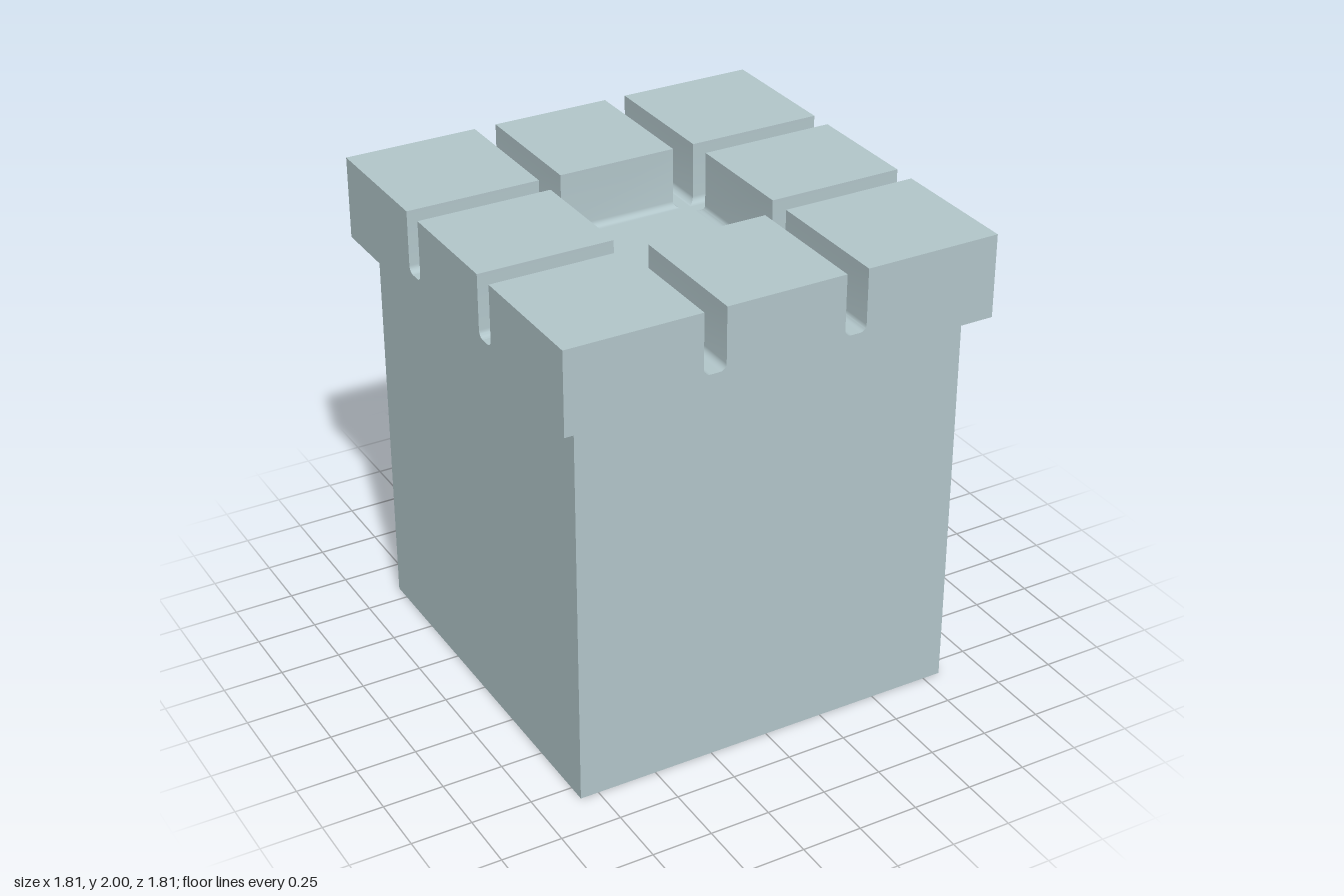
import * as THREE from 'three';
import { toCreasedNormals } from 'three/addons/utils/BufferGeometryUtils.js';

const BODY = 0.826, CAP_X = 0.905, CAP_Z = 0.907;
const LEDGE_Y = 1.656, FLOOR_Y = 1.746, TOP_Y = 2;
const FILLET = 0.027;

// Intervals left standing between the grooves along each axis
const SPANS_X = [[-CAP_X, -0.347], [-0.254, 0.246], [0.338, CAP_X]];
const SPANS_Z = [[-CAP_Z, -0.347], [-0.25, 0.25], [0.345, CAP_Z]];

// Block whose inner sides flare into the floor with a quarter-round fillet
function merlonGeometry([x0, x1], [z0, z1]) {
  const levels = [];
  const steps = 6;
  for (let i = 0; i <= steps; i++) {
    const a = (i / steps) * Math.PI / 2;
    levels.push([FLOOR_Y + FILLET * (1 - Math.cos(a)), FILLET * (1 - Math.sin(a))]);
  }
  levels.push([TOP_Y, 0]);

  const positions = [], index = [];
  for (const [y, flare] of levels) {
    // The outside faces of the tower stay flush
    const l = x0 === -CAP_X ? x0 : x0 - flare;
    const r = x1 === CAP_X ? x1 : x1 + flare;
    const b = z0 === -CAP_Z ? z0 : z0 - flare;
    const f = z1 === CAP_Z ? z1 : z1 + flare;
    positions.push(l, y, f, r, y, f, r, y, b, l, y, b);
  }
  for (let k = 0; k < levels.length - 1; k++) {
    for (let i = 0; i < 4; i++) {
      const j = (i + 1) % 4, lo = k * 4, hi = lo + 4;
      index.push(lo + i, lo + j, hi + j, lo + i, hi + j, hi + i);
    }
  }
  const t = (levels.length - 1) * 4;
  index.push(t, t + 1, t + 2, t, t + 2, t + 3);

  const geometry = new THREE.BufferGeometry();
  geometry.setAttribute('position', new THREE.Float32BufferAttribute(positions, 3));
  geometry.setIndex(index);
  return toCreasedNormals(geometry, 0.5);
}

export function createModel() {
  const group = new THREE.Group();
  group.name = 'squareTower';
  const stone = new THREE.MeshStandardMaterial({ color: 0xb2c6ca, side: THREE.DoubleSide });
  stone.name = 'paleStone';

  const add = (name, geometry) => {
    const mesh = new THREE.Mesh(geometry, stone);
    mesh.name = name;
    group.add(mesh);
    return mesh;
  };

  // Hollow shaft, open at the bottom
  const shaft = new THREE.CylinderGeometry(BODY * Math.SQRT2, BODY * Math.SQRT2, LEDGE_Y, 4, 1, true)
    .rotateY(Math.PI / 4).translate(0, LEDGE_Y / 2, 0).toNonIndexed();
  shaft.computeVertexNormals();
  add('shaftWalls', shaft);

  // Overhanging slab that carries the battlements
  const slab = new THREE.BoxGeometry(CAP_X * 2, FLOOR_Y - LEDGE_Y, CAP_Z * 2);
  add('topSlab', slab).position.y = (FLOOR_Y + LEDGE_Y) / 2;

  // Eight merlons around the open middle
  SPANS_X.forEach((sx, i) => SPANS_Z.forEach((sz, j) => {
    if (i === 1 && j === 1) return;
    const row = ['back', 'middle', 'front'][j], column = ['Right', 'Centre', 'Left'][i];
    add(`${row}${column}Merlon`, merlonGeometry(sx, sz));
  }));

  return group;
}
